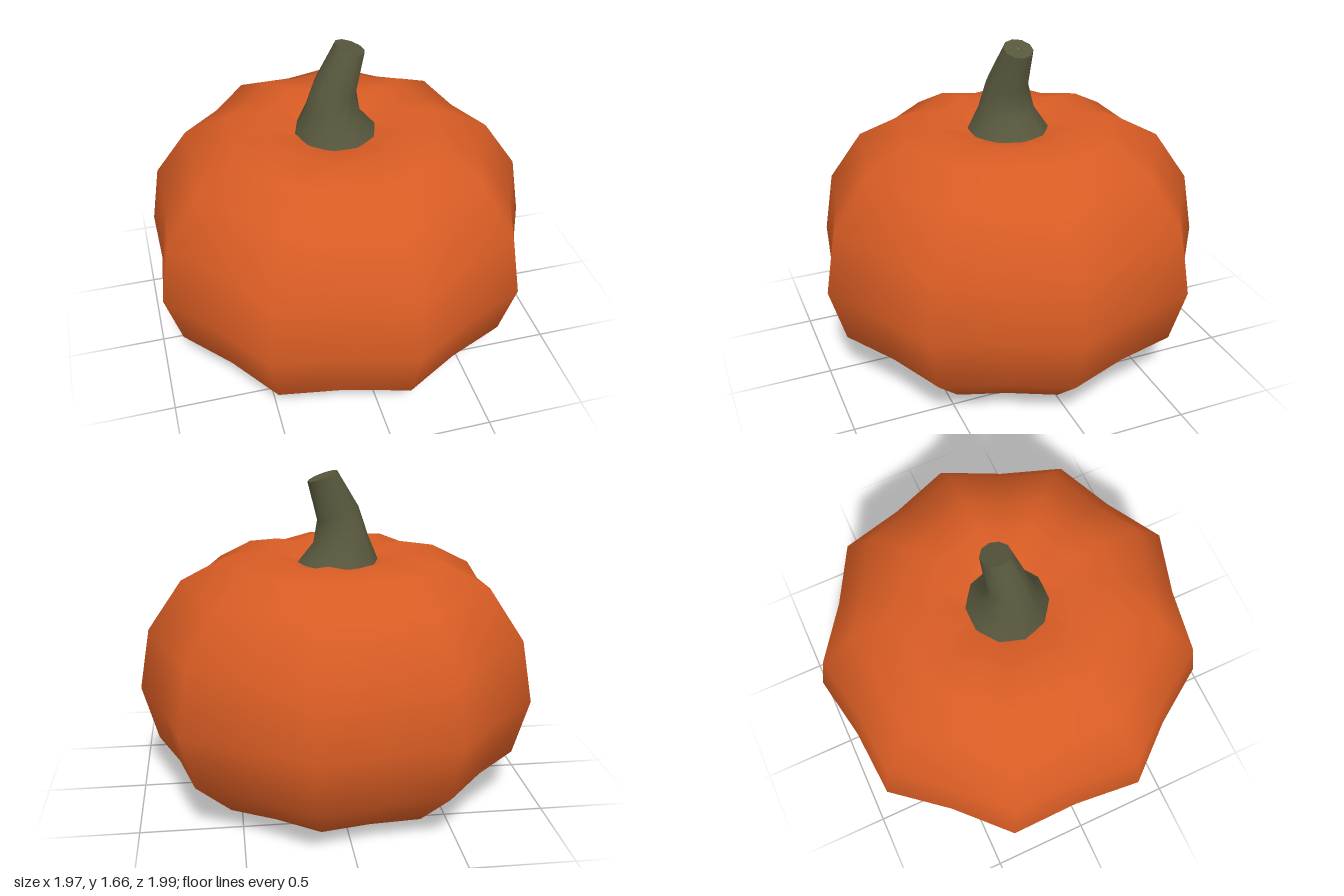
import * as THREE from 'three';

// Skin a stack of closed rings (bottom to top); point(i, angle, j) gives each vertex
function loft(ringCount, sides, startAngle, point) {
  const positions = [], index = [];
  for (let i = 0; i < ringCount; i++) {
    for (let j = 0; j < sides; j++) {
      positions.push(...point(i, startAngle + (j / sides) * Math.PI * 2, j));
    }
  }
  for (let i = 0; i < ringCount - 1; i++) {
    for (let j = 0; j < sides; j++) {
      const a = i * sides + j, b = i * sides + (j + 1) % sides;
      index.push(a, a + sides, b, b, a + sides, b + sides);
    }
  }
  const geometry = new THREE.BufferGeometry();
  geometry.setAttribute('position', new THREE.Float32BufferAttribute(positions, 3));
  geometry.setIndex(index);
  geometry.computeVertexNormals();
  return geometry;
}

function addMesh(group, name, geometry, material) {
  const mesh = new THREE.Mesh(geometry, material);
  mesh.name = name;
  group.add(mesh);
}

export function createModel() {
  const group = new THREE.Group();
  group.name = 'pumpkin';
  const orange = new THREE.MeshStandardMaterial({ color: 0xd85c24 });
  orange.name = 'pumpkin orange';
  const green = new THREE.MeshStandardMaterial({ color: 0x57573d });
  green.name = 'stem green';

  // Body: nine ridges with shallow valleys between. [ridge radius, height, valley ratio, valley drop]
  const body = [
    [0.002, 0.01, 1, 0], [0.18, 0, 1, 0], [0.72, 0.063, 0.92, 0],
    [0.93, 0.258, 0.92, 0], [1.01, 0.54, 0.92, 0], [0.955, 0.855, 0.92, 0],
    [0.78, 1.11, 0.92, 0.01], [0.56, 1.225, 0.93, 0.02], [0.375, 1.262, 0.95, 0.03],
    [0.2, 1.2, 1, 0], [0.002, 1.16, 1, 0],
  ];
  addMesh(group, 'body', loft(body.length, 18, THREE.MathUtils.degToRad(2.5), (i, angle, j) => {
    const [radius, y, ratio, drop] = body[i];
    const valley = j % 2 === 1;
    const r = valley ? radius * ratio : radius;
    return [-0.015 + Math.cos(angle) * r, valley ? y - drop : y, -0.005 + Math.sin(angle) * r];
  }), orange);

  // Stem: flared base, bending towards +x. [centre x, centre y, centre z, radius, tilt]
  const stem = [
    [-0.022, 1.18, -0.01, 0.215, 0],
    [-0.04, 1.31, -0.005, 0.138, 0.1],
    [-0.025, 1.44, -0.005, 0.104, 0.3],
    [0.055, 1.63, -0.03, 0.073, 0.36],
  ];
  const stemPoint = ([x, y, z, r, tilt], angle) => {
    const dx = Math.cos(angle) * r;
    return [x + dx, y - tilt * dx, z + Math.sin(angle) * r];
  };
  addMesh(group, 'stem', loft(stem.length, 10, 0, (i, angle) => stemPoint(stem[i], angle)), green);

  // Cut end of the stem, with its own crisp edge
  const end = stem[stem.length - 1];
  addMesh(group, 'stemEnd', loft(2, 10, 0, (i, angle) =>
    stemPoint(i === 0 ? end : [end[0], end[1], end[2], 0.0005, end[4]], angle)), green);

  return group;
}
